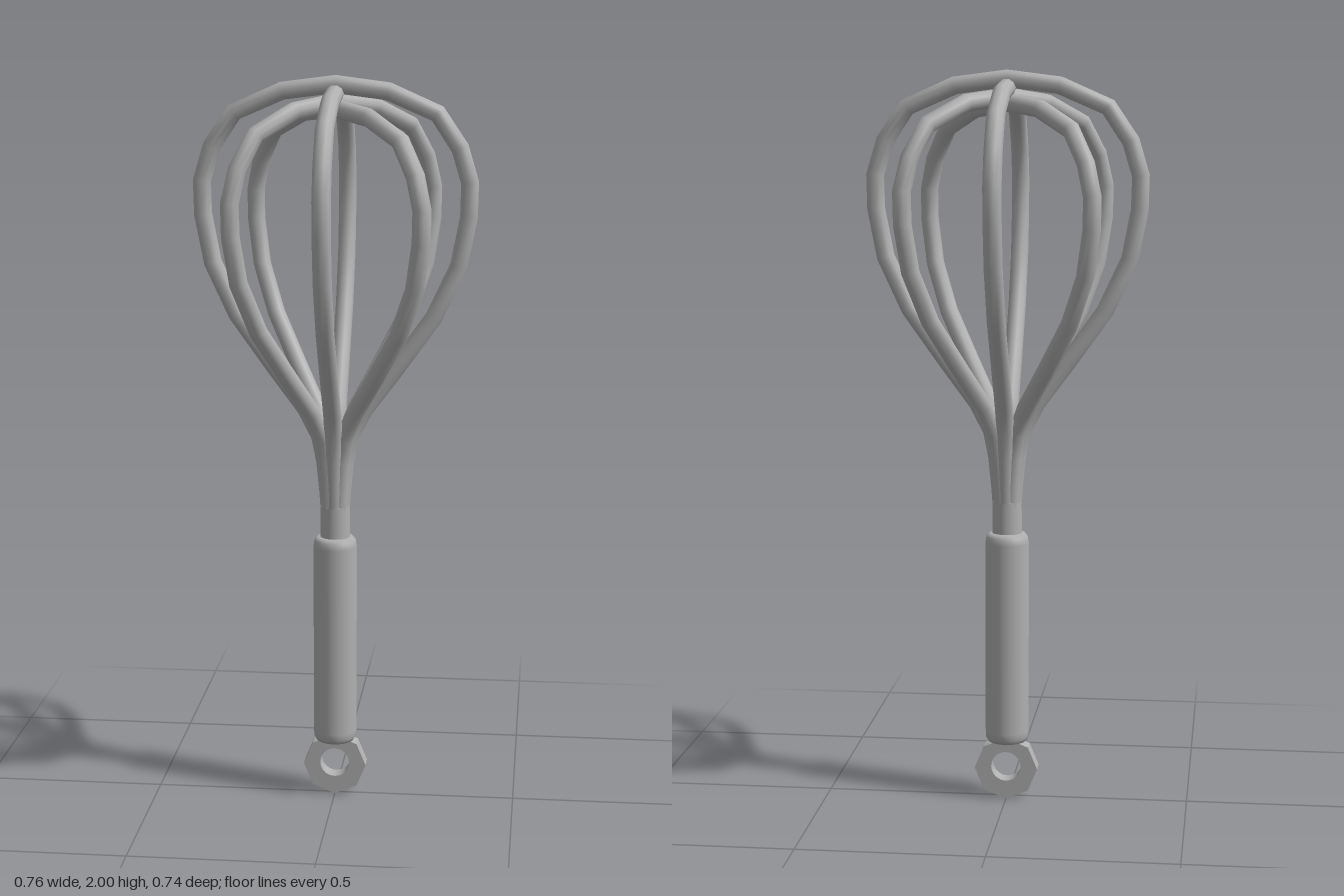
import * as THREE from 'three';

// Half outline of one wire loop: [distance from axis, height], crown to handle
const HALF = [
  [0, 1.975], [0.14, 1.957], [0.27, 1.9], [0.33, 1.81], [0.357, 1.72], [0.355, 1.63],
  [0.33, 1.5], [0.265, 1.36], [0.165, 1.22], [0.08, 1.105], [0.042, 1.03],
  [0.028, 0.96], [0.02, 0.88], [0.014, 0.8],
];

// Closed-looking wire loop in the plane turned by angle about the axis
function wireLoop(angle, spread, top, material) {
  const stretch = (top - 1) / (1.975 - 1);
  const side = (s) => HALF.map(([r, y]) => new THREE.Vector3(
    s * r * spread * Math.cos(angle),
    y > 1 ? 1 + (y - 1) * stretch : y,
    -s * r * spread * Math.sin(angle)));
  const points = [...side(-1).reverse(), ...side(1).slice(1)];
  const curve = new THREE.CatmullRomCurve3(points);
  // Put one ring of the tube on every bend of the wire
  curve.getPointAt = curve.getPoint;
  curve.getTangentAt = curve.getTangent;
  const geometry = new THREE.TubeGeometry(curve, points.length - 1, 0.0245, 10);
  return new THREE.Mesh(geometry, material);
}

export function createModel() {
  const model = new THREE.Group();
  model.name = 'whisk';
  const steel = new THREE.MeshStandardMaterial({ color: 0xb0b0b0 });
  steel.name = 'brushed steel';
  const add = (name, mesh) => {
    mesh.name = name;
    model.add(mesh);
  };

  // Four crossing wire loops, each a little lower than the last
  const loops = [
    ['wireLoopSide', 0, 1, 1.975],
    ['wireLoopFront', Math.PI / 2, 0.965, 1.953],
    ['wireLoopDiagonalA', Math.PI / 4, 0.975, 1.928],
    ['wireLoopDiagonalB', -Math.PI / 4, 0.975, 1.912],
  ];
  for (const [name, angle, spread, top] of loops) {
    add(name, wireLoop(angle, spread, top, steel));
  }

  // Neck that gathers the wires
  const neck = new THREE.CylinderGeometry(0.04, 0.041, 0.13, 20);
  neck.translate(0, 0.77, 0);
  add('neck', new THREE.Mesh(neck, steel));

  // Handle with softened ends
  const profile = [
    [0, 0.16], [0.052, 0.16], [0.059, 0.172], [0.06, 0.19],
    [0.06, 0.72], [0.057, 0.738], [0.048, 0.748], [0, 0.75],
  ].map(([x, y]) => new THREE.Vector2(x, y));
  add('handle', new THREE.Mesh(new THREE.LatheGeometry(profile, 24), steel));

  // Eight-sided hanging ring with a round hole
  const outline = [];
  for (let i = 0; i < 8; i++) {
    const a = (i * Math.PI) / 4;
    outline.push(new THREE.Vector2(0.087 * Math.cos(a), 0.087 + 0.087 * Math.sin(a)));
  }
  const shape = new THREE.Shape(outline);
  shape.holes.push(new THREE.Path().absarc(0, 0.093, 0.041, 0, Math.PI * 2, true));
  const ring = new THREE.ExtrudeGeometry(shape, { depth: 0.047, bevelEnabled: false, curveSegments: 16 });
  ring.translate(0, 0, -0.033);
  add('hangingRing', new THREE.Mesh(ring, steel));

  return model;
}
